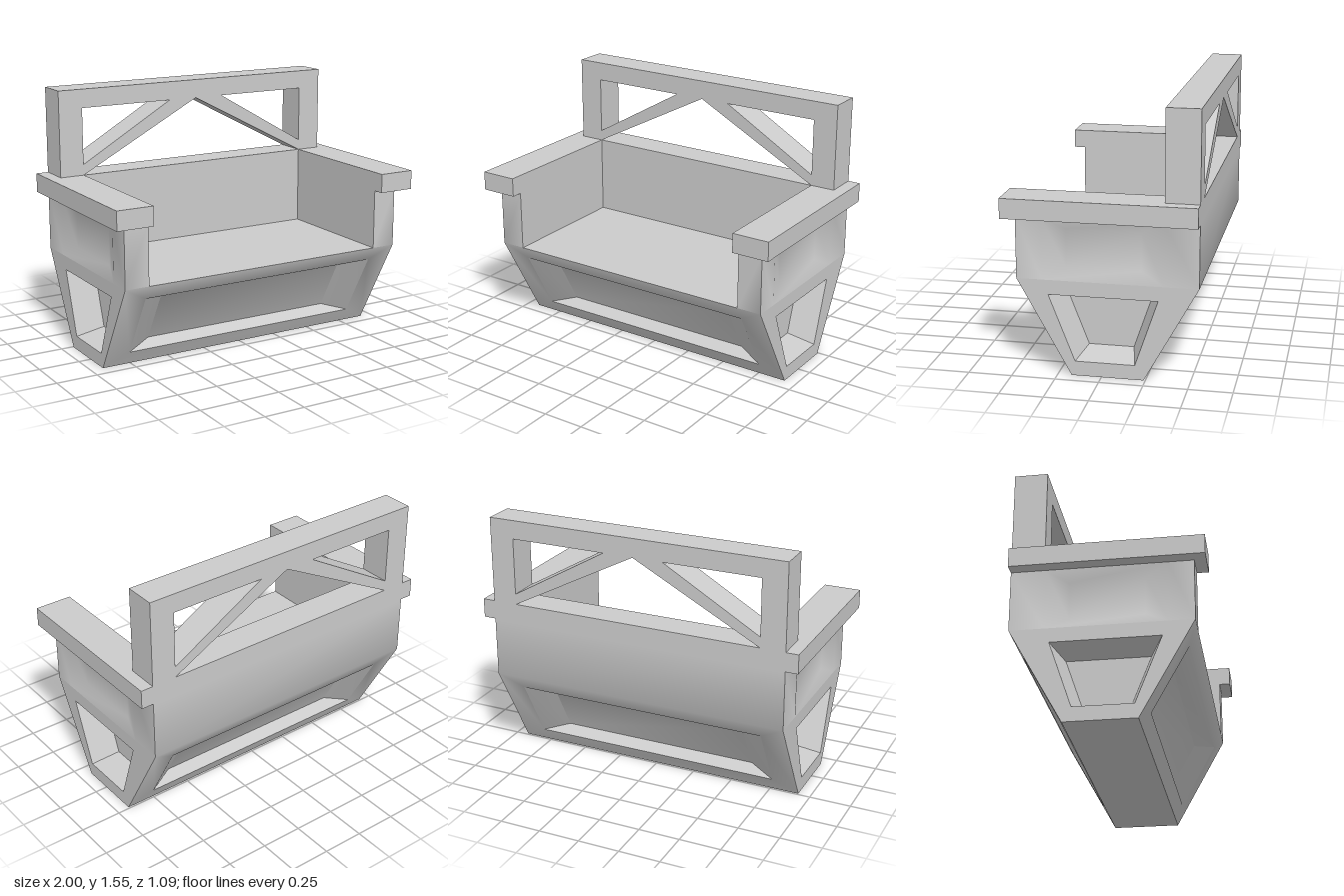
import * as THREE from 'three';
import { toCreasedNormals } from 'three/addons/utils/BufferGeometryUtils.js';

const W = 0.925, IN = 0.775;          // outer and inner half widths
const SEAT = 0.555, ARM = 0.915, TOP = 1.03;
const FRONT = 0.48, BACK = -0.547, REST = -0.355;
const frontZ = y => 0.17 + (FRONT - 0.17) * y / SEAT;
const backZ = y => -0.24 + (BACK + 0.24) * y / SEAT;

export function createModel() {
  const group = new THREE.Group();
  const material = new THREE.MeshStandardMaterial({ color: 0xcccccc });

  const add = (name, geometry, x = 0, y = 0, z = 0) => {
    const mesh = new THREE.Mesh(geometry, material);
    mesh.name = name;
    mesh.position.set(x, y, z);
    group.add(mesh);
  };

  // Shell surfaces: quads, and panels made of nested four-corner loops
  const positions = [];
  const quad = (a, b, c, d) => positions.push(...a, ...b, ...c, ...a, ...c, ...d);
  const panel = (loops, flip = false) => {
    const list = flip ? loops.map(l => [...l].reverse()) : loops;
    for (let k = 0; k < list.length - 1; k++) {
      const o = list[k], i = list[k + 1];
      for (let n = 0; n < 4; n++) {
        const m = (n + 1) % 4;
        quad(o[n], o[m], i[m], i[n]);
      }
    }
    quad(...list[list.length - 1]);
  };

  // Sloping lower front and back with long recesses
  for (const s of [1, -1]) {
    const zAt = s > 0 ? frontZ : backZ;
    const loop = (x, y0, y1, depth) =>
      [[-x, y0], [x, y0], [x, y1], [-x, y1]].map(([px, y]) => [px * s, y, zAt(y) - s * depth]);
    panel([loop(W, 0, SEAT, 0), loop(IN, 0.085, 0.47, 0), loop(0.62, 0.13, 0.425, 0.09)]);
  }

  // Ends: tapered deep recess below, shallow recess above
  for (const s of [1, -1]) {
    const loop = (x, y0, y1, f0, b0, f1, b1) =>
      [[y0, f0], [y0, b0], [y1, b1], [y1, f1]].map(([y, z]) => [x * s, y, z]);
    panel([
      loop(W, 0, SEAT, frontZ(0), backZ(0), FRONT, BACK),
      loop(W, 0.085, 0.47, 0.15, -0.19, 0.30, -0.32),
      loop(0.76, 0.13, 0.425, 0.105, -0.155, 0.22, -0.255),
    ], s < 0);
    panel([
      loop(W, SEAT, ARM, FRONT, BACK, FRONT, BACK),
      loop(W, SEAT, ARM, 0.335, -0.35, 0.335, -0.35),
      loop(0.885, 0.625, 0.845, 0.205, -0.22, 0.205, -0.22),
    ], s < 0);
    // Front strip and inner face of each side wall
    panel([[[IN * s, SEAT, FRONT], [W * s, SEAT, FRONT], [W * s, ARM, FRONT], [IN * s, ARM, FRONT]]], s < 0);
    panel([[[IN * s, SEAT, REST], [IN * s, SEAT, FRONT], [IN * s, ARM, FRONT], [IN * s, ARM, REST]]], s < 0);
  }

  // Underside, seat, backrest front and top, rear wall
  const flat = (x, z0, z1, y) => [[-x, y, z1], [x, y, z1], [x, y, z0], [-x, y, z0]];
  const wall = (x, y0, y1, z) => [[-x, y0, z], [x, y0, z], [x, y1, z], [-x, y1, z]];
  panel([flat(W, backZ(0), frontZ(0), 0)], true);
  panel([flat(IN, REST, FRONT, SEAT)]);
  panel([wall(IN, SEAT, TOP, REST)]);
  panel([flat(IN, BACK, REST, TOP)]);
  panel([wall(W, SEAT, ARM, BACK)], true);
  panel([wall(IN, ARM, TOP, BACK)], true);

  const shell = new THREE.BufferGeometry();
  shell.setAttribute('position', new THREE.Float32BufferAttribute(positions, 3));
  add('seatBody', toCreasedNormals(shell, 0.75));

  // Armrests
  const armWidth = 1 - IN;
  for (const s of [1, -1]) {
    add(s > 0 ? 'leftArmrest' : 'rightArmrest',
      new THREE.BoxGeometry(armWidth, TOP - ARM, 1.094), s * (IN + armWidth / 2), (TOP + ARM) / 2, 0);
  }

  // Upper back frame with diagonal braces: notched outline plus two corner holes
  const toPoints = list => list.map(([x, y]) => new THREE.Vector2(x, y));
  const frame = new THREE.Shape(toPoints([
    [-W, TOP], [-IN, TOP], [0, 1.437], [IN, TOP], [W, TOP], [W, 1.55], [-W, 1.55],
  ]));
  for (const s of [1, -1]) {
    frame.holes.push(new THREE.Path(toPoints([[s * IN, 1.095], [s * IN, 1.437], [s * 0.185, 1.437]])));
  }
  add('backFrame', new THREE.ExtrudeGeometry(frame, { depth: REST - BACK, bevelEnabled: false }), 0, 0, BACK);

  return group;
}
